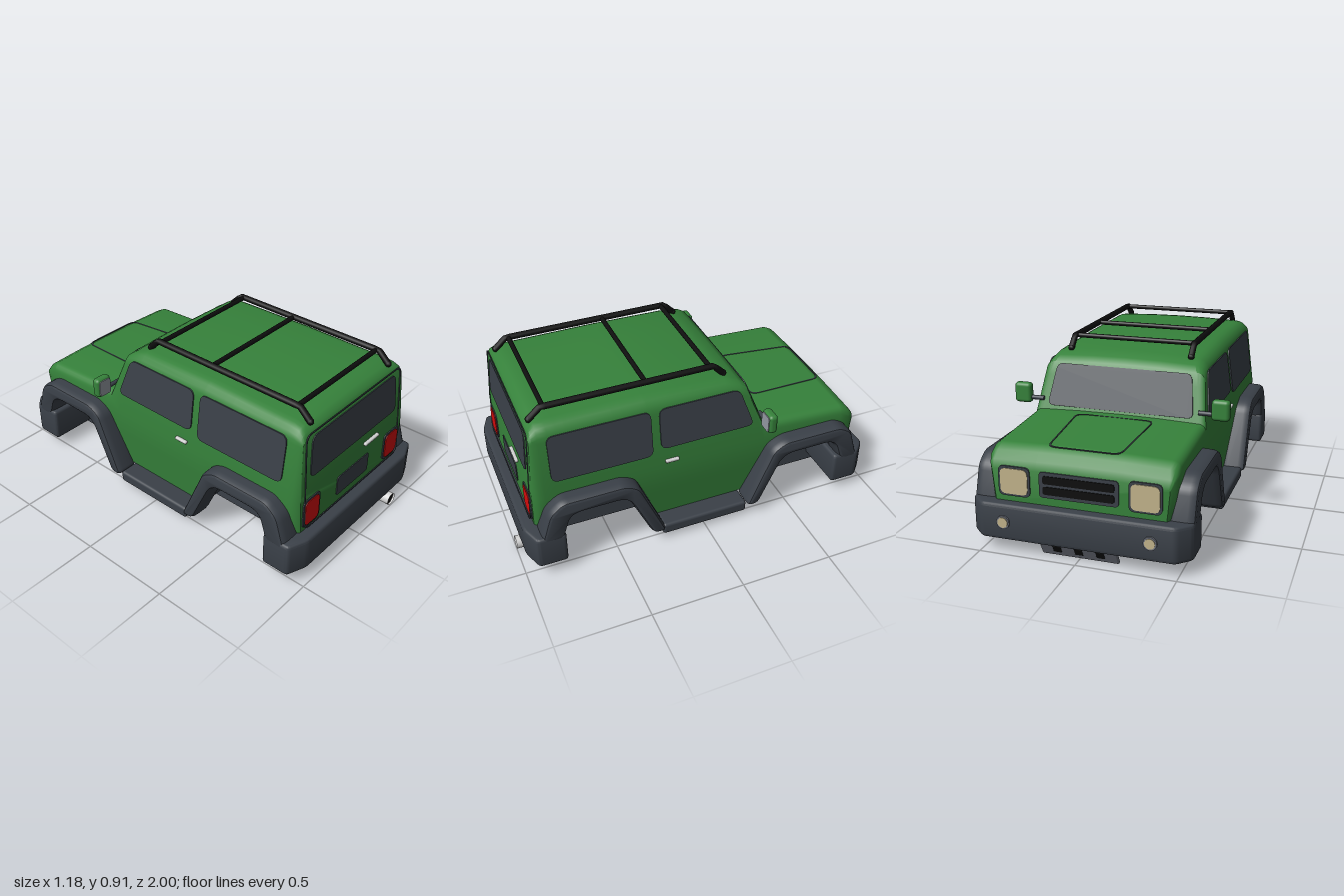
import * as THREE from 'three';
import { toCreasedNormals } from 'three/addons/utils/BufferGeometryUtils.js';
import { RoundedBoxGeometry } from 'three/addons/geometries/RoundedBoxGeometry.js';

const mat = (name, color, side = THREE.FrontSide) => {
  const m = new THREE.MeshStandardMaterial({ color, side });
  m.name = name;
  return m;
};
const M = {
  green: mat('body green', 0x36823b),
  trim: mat('dark trim', 0x3a4048),
  black: mat('black', 0x0d0d0d),
  red: mat('lamp red', 0xd60c0c),
  cream: mat('lamp cream', 0xc2b48c),
  silver: mat('silver', 0xd2d2d2, THREE.DoubleSide),
  steel: mat('steel', 0x6e727c),
  glass: mat('mirror glass', 0x959aa3),
};
const V = (x, y, z) => new THREE.Vector3(x, y, z);

function add(parent, name, geo, material, x = 0, y = 0, z = 0) {
  const m = new THREE.Mesh(geo, material);
  m.name = name;
  m.position.set(x, y, z);
  parent.add(m);
  return m;
}

// Polygon with softened corners
function rounded(pts, r, Type = THREE.Shape) {
  const s = new Type(), n = pts.length, p = pts.map(q => new THREE.Vector2(...q));
  p.forEach((c, i) => {
    const toward = q => {
      const d = q.clone().sub(c), l = d.length();
      return c.clone().add(d.multiplyScalar(Math.min(r, l * 0.45) / l));
    };
    const a = toward(p[(i + n - 1) % n]), b = toward(p[(i + 1) % n]);
    if (i) s.lineTo(a.x, a.y); else s.moveTo(a.x, a.y);
    s.quadraticCurveTo(c.x, c.y, b.x, b.y);
  });
  s.closePath();
  return s;
}
const rect = (x0, y0, x1, y1) => [[x0, y0], [x1, y0], [x1, y1], [x0, y1]];

// Extruded outline standing on a surface: u and v span it, u x v points out
function panel(parent, name, shape, material, origin, u, v, depth = 0.007, bevel = null) {
  const opt = { depth, curveSegments: 5, bevelEnabled: !!bevel, ...bevel };
  const g = toCreasedNormals(new THREE.ExtrudeGeometry(shape, opt), 0.6);
  const uu = u.clone().normalize(), vv = v.clone().normalize();
  const basis = new THREE.Matrix4().makeBasis(uu, vv, uu.clone().cross(vv)).setPosition(origin);
  return add(parent, name, g.applyMatrix4(basis), material);
}

// Piecewise linear lookup of rows [key, a, b, ...]
function lookup(rows, k) {
  let i = 0;
  while (i < rows.length - 2 && k > rows[i + 1][0]) i++;
  const a = rows[i], b = rows[i + 1];
  const t = THREE.MathUtils.clamp((k - a[0]) / (b[0] - a[0]), 0, 1);
  return a.slice(1).map((q, j) => q + (b[j + 1] - q) * t);
}

// z, top height, shoulder radius, width factor
const TOP = [[-0.93, 0.43, 0.01, 0.94], [-0.915, 0.47, 0.02, 0.965], [-0.885, 0.51, 0.04, 0.99],
  [-0.84, 0.535, 0.045, 1], [-0.41, 0.557, 0.045, 1], [-0.36, 0.558, 0.04, 1], [-0.265, 0.8, 0.05, 1],
  [-0.225, 0.828, 0.065, 1], [-0.15, 0.85, 0.08, 1], [0.3, 0.861, 0.085, 1], [0.8, 0.855, 0.08, 1],
  [0.85, 0.848, 0.075, 1], [0.878, 0.828, 0.055, 0.995], [0.893, 0.8, 0.035, 0.98],
  [0.907, 0.6, 0.02, 0.96], [0.914, 0.5, 0.01, 0.94]];
// z, underside height with the wheel openings
const UNDER = [[-0.93, 0.25], [-0.83, 0.25], [-0.79, 0.34], [-0.74, 0.385], [-0.47, 0.385], [-0.42, 0.35],
  [-0.29, 0.1], [0.29, 0.1], [0.42, 0.35], [0.47, 0.385], [0.71, 0.385], [0.755, 0.36], [0.8, 0.25], [0.914, 0.25]];
// y, half width
const WIDTH = [[0.1, 0.44], [0.3, 0.463], [0.45, 0.478], [0.8, 0.432]];

function section(z) {
  const [top, r, k] = lookup(TOP, z), [low] = lookup(UNDER, z);
  const crown = 0.01, shoulder = top - crown - r, half = [];
  for (const y of [low, 0.3, 0.45, shoulder]) {
    const yy = THREE.MathUtils.clamp(y, low, shoulder);
    half.push([lookup(WIDTH, yy)[0] * k, yy]);
  }
  const cx = half[3][0] - r;
  for (let i = 1; i <= 5; i++) {
    const a = i / 5 * Math.PI / 2;
    half.push([cx + r * Math.cos(a), shoulder + r * Math.sin(a)]);
  }
  half.push([cx / 2, top - crown / 4]);
  return [...half, [0, top], ...half.map(([x, y]) => [-x, y]).reverse()];
}

function buildBody(g) {
  const zs = [...new Set([...TOP, ...UNDER].map(r => r[0]))].sort((a, b) => a - b);
  const rings = zs.map(z => section(z).map(([x, y]) => [x, y, z]));
  const n = rings[0].length, skin = [], floor = [];
  for (let i = 0; i < zs.length - 1; i++) for (let j = 0; j < n; j++) {
    const k = (j + 1) % n, a = rings[i][j], b = rings[i][k], c = rings[i + 1][k], d = rings[i + 1][j];
    (k ? skin : floor).push(...a, ...b, ...c, ...a, ...c, ...d);
  }
  const first = rings[0], last = rings[rings.length - 1];
  for (let j = 1; j < n - 1; j++) {
    skin.push(...last[0], ...last[j], ...last[j + 1], ...first[0], ...first[j + 1], ...first[j]);
  }
  const make = p => {
    const geo = new THREE.BufferGeometry();
    geo.setAttribute('position', new THREE.Float32BufferAttribute(p, 3));
    geo.computeVertexNormals();
    return toCreasedNormals(geo, 0.6);
  };
  add(g, 'bodyShell', make(skin), M.green);
  add(g, 'bodyUnderside', make(floor), M.trim);
}

function outline(pts, inner, r) {
  const s = rounded(pts, r);
  s.holes.push(rounded(inner, r, THREE.Path));
  return s;
}

export function createModel() {
  const g = new THREE.Group();
  g.name = 'offRoadCarBody';
  buildBody(g);
  add(g, 'chassis', new RoundedBoxGeometry(0.55, 0.315, 1.7, 2, 0.012), M.trim, 0, 0.177, 0);

  // Sides: windows, arch flares, steps, handles, mirrors, rack rails
  const flares = {
    rearFlare: [[0.915, 0.22], [0.86, 0.4], [0.79, 0.46], [0.45, 0.46], [0.38, 0.42], [0.23, 0.07],
      [0.31, 0.07], [0.433, 0.34], [0.476, 0.37], [0.71, 0.37], [0.75, 0.35], [0.79, 0.22]],
    frontFlare: [[-0.925, 0.22], [-0.866, 0.41], [-0.79, 0.46], [-0.45, 0.46], [-0.38, 0.42], [-0.235, 0.07],
      [-0.31, 0.07], [-0.433, 0.34], [-0.476, 0.37], [-0.727, 0.37], [-0.77, 0.34], [-0.81, 0.22]],
  };
  for (const s of [1, -1]) {
    const side = s > 0 ? 'left' : 'right', u = V(0, 0, -s), up = V(0, 1, 0);
    const flip = pts => pts.map(([z, y]) => [-s * z, y]);
    const lean = V(s * -0.046, 0.35, 0), base = V(s * 0.478, 0.45, 0);
    const onGlass = pts => flip(pts).map(([a, y]) => [a, (y - 0.45) * 1.0086]);
    panel(g, side + 'RearWindow', rounded(onGlass([[0.81, 0.535], [0.81, 0.79], [0.275, 0.79], [0.275, 0.535]]), 0.04),
      M.trim, base, u, lean);
    panel(g, side + 'FrontWindow', rounded(onGlass([[0.23, 0.56], [0.23, 0.79], [-0.215, 0.79], [-0.295, 0.565]]), 0.04),
      M.trim, base, u, lean);
    for (const name in flares) {
      panel(g, side + name, rounded(flip(flares[name]), 0.035), M.trim, V(s * 0.46, 0, 0), u, up, 0.06,
        { bevelThickness: 0.04, bevelSize: 0.02, bevelOffset: -0.02, bevelSegments: 3 });
    }
    add(g, side + 'Step', new RoundedBoxGeometry(0.24, 0.065, 0.49, 3, 0.016), M.trim, s * 0.425, 0.068, 0.005);
    add(g, side + 'DoorHandle', new RoundedBoxGeometry(0.02, 0.017, 0.075, 2, 0.006), M.silver, s * 0.481, 0.485, 0.175);

    add(g, side + 'MirrorHousing', new RoundedBoxGeometry(0.095, 0.11, 0.05, 4, 0.02), M.green, s * 0.541, 0.627, -0.345);
    panel(g, side + 'MirrorGlass', rounded(rect(-0.037, -0.045, 0.037, 0.045), 0.015), M.glass,
      V(s * 0.541, 0.627, -0.322), V(1, 0, 0), up, 0.005);
    const arm = add(g, side + 'MirrorArm', new THREE.CylinderGeometry(0.012, 0.012, 0.09, 10), M.trim, s * 0.47, 0.602, -0.345);
    arm.rotation.z = Math.PI / 2;

    const path = new THREE.CurvePath();
    const rail = [V(s * 0.335, 0.845, 0.86), V(s * 0.335, 0.9, 0.8), V(s * 0.335, 0.9, -0.11), V(s * 0.335, 0.845, -0.165)];
    for (let i = 0; i < 3; i++) path.add(new THREE.LineCurve3(rail[i], rail[i + 1]));
    add(g, side + 'RackRail', new THREE.TubeGeometry(path, 40, 0.017, 10), M.black);
    for (const end of [rail[0], rail[3]]) {
      add(g, side + 'RackFoot', new THREE.SphereGeometry(0.018, 10, 6), M.black, end.x, end.y, end.z);
    }

    // Tail lamps and headlamps
    const lamp = (name, color, z, dir, x, y, w, h) => {
      const plate = (a, b, m, zz, n) => panel(g, side + n, rounded(rect(-a, -b, a, b), 0.03), m,
        V(s * x, y, zz), V(dir, 0, 0), up, 0.008);
      plate(w, h, M.trim, z, name + 'Surround');
      plate(w - 0.011, h - 0.011, color, z + dir * 0.004, name);
    };
    lamp('TailLamp', M.red, 0.912, 1, 0.357, 0.362, 0.068, 0.083);
    lamp('Headlamp', M.cream, -0.928, -1, 0.33, 0.364, 0.082, 0.076);
    const fog = add(g, side + 'FogLamp', new THREE.CylinderGeometry(0.026, 0.026, 0.03, 20), M.cream, s * 0.37, 0.17, -0.985);
    const ring = add(g, side + 'FogLampRing', new THREE.CylinderGeometry(0.034, 0.034, 0.026, 20), M.steel, s * 0.37, 0.17, -0.984);
    fog.rotation.x = ring.rotation.x = Math.PI / 2;
  }

  // Roof rack cross bars
  for (const z of [-0.09, 0.26, 0.785]) {
    const bar = add(g, 'rackCrossBar', new THREE.CylinderGeometry(0.013, 0.013, 0.67, 10), M.black, 0, 0.9, z);
    bar.rotation.z = Math.PI / 2;
  }

  // Windscreen, bonnet seam and grille
  const slope = V(0, 0.242, 0.095), sl = slope.length() / 0.242;
  panel(g, 'windscreen', rounded([[-0.4, 0.012 * sl], [0.4, 0.012 * sl], [0.37, 0.225 * sl], [-0.37, 0.225 * sl]], 0.035),
    M.trim, V(0, 0.558, -0.36), V(-1, 0, 0), slope, 0.006);
  panel(g, 'bonnetSeam', outline([[-0.212, 0], [0.212, 0], [0.185, 0.45], [-0.185, 0.45]],
    [[-0.206, 0.006], [0.206, 0.006], [0.179, 0.444], [-0.179, 0.444]], 0.045),
  M.trim, V(0, 0.553, -0.41), V(1, 0, 0), V(0, -0.022, -0.43), 0.005);
  const toFront = V(-1, 0, 0), toRear = V(1, 0, 0), up = V(0, 1, 0);
  panel(g, 'grille', rounded(rect(-0.2, 0.3, 0.2, 0.43), 0.02), M.trim, V(0, 0, -0.928), toFront, up, 0.008);
  for (const y of [0.318, 0.372]) {
    panel(g, 'grilleSlot', rounded(rect(-0.18, y, 0.18, y + 0.04), 0.012), M.black, V(0, 0, -0.932), toFront, up, 0.008);
  }

  // Tailgate
  const back = V(0, 0.3, -0.021), hinge = V(0, 0.5, 0.912);
  panel(g, 'rearWindow', rounded([[-0.378, 0.065], [0.378, 0.065], [0.358, 0.288], [-0.358, 0.288]], 0.04),
    M.trim, hinge, toRear, back);
  panel(g, 'tailgateSeam', outline(rect(-0.423, -0.225, 0.423, 0.315).map(([x, y]) => [y > 0 ? x * 0.965 : x, y]),
    rect(-0.417, -0.219, 0.417, 0.309).map(([x, y]) => [y > 0 ? x * 0.965 : x, y]), 0.04),
  M.trim, V(0, 0.5, 0.911), toRear, V(0, 0.3, -0.018), 0.005);
  panel(g, 'numberPlate', rounded(rect(-0.14, 0.31, 0.14, 0.423), 0.015), M.trim, V(0, 0, 0.912), toRear, up);
  add(g, 'tailgateHandle', new RoundedBoxGeometry(0.126, 0.017, 0.02, 2, 0.006), M.silver, 0.147, 0.503, 0.92);

  // Bumpers and slotted skid plates
  const bumper = (name, pts) => panel(g, name, rounded([...pts, ...pts.map(([x, z]) => [-x, z]).reverse()]
    .map(([x, z]) => [x, -z]), 0.02), M.trim, V(0, 0.092, 0), V(1, 0, 0), V(0, 0, -1), 0.15,
  { bevelThickness: 0.017, bevelSize: 0.014, bevelOffset: -0.014, bevelSegments: 3 });
  bumper('rearBumper', [[0.56, 0.78], [0.56, 0.935], [0.45, 0.977]]);
  bumper('frontBumper', [[0.56, -0.77], [0.56, -0.92], [0.49, -0.988]]);
  for (const [name, turn] of [['frontSkidPlate', 0], ['rearSkidPlate', Math.PI]]) {
    const skid = new THREE.Group();
    skid.name = name;
    const tilt = new THREE.Group();
    tilt.position.set(0, 0.051, -0.94);
    tilt.rotation.x = -0.5;
    add(tilt, 'plate', new RoundedBoxGeometry(0.395, 0.105, 0.02, 3, 0.008), M.steel);
    for (const x of [-0.11, 0, 0.11]) add(tilt, 'slot', new RoundedBoxGeometry(0.046, 0.05, 0.024, 2, 0.006), M.black, x);
    skid.add(tilt);
    skid.rotation.y = turn;
    g.add(skid);
  }

  // Exhaust pipe
  const pipe = add(g, 'exhaustPipe', new THREE.CylinderGeometry(0.035, 0.035, 0.16, 20, 1, true), M.silver, 0.305, 0.045, 0.92);
  pipe.rotation.x = Math.PI / 2;
  add(g, 'exhaustBore', new THREE.CircleGeometry(0.034, 20), M.black, 0.305, 0.045, 0.99);
  return g;
}
